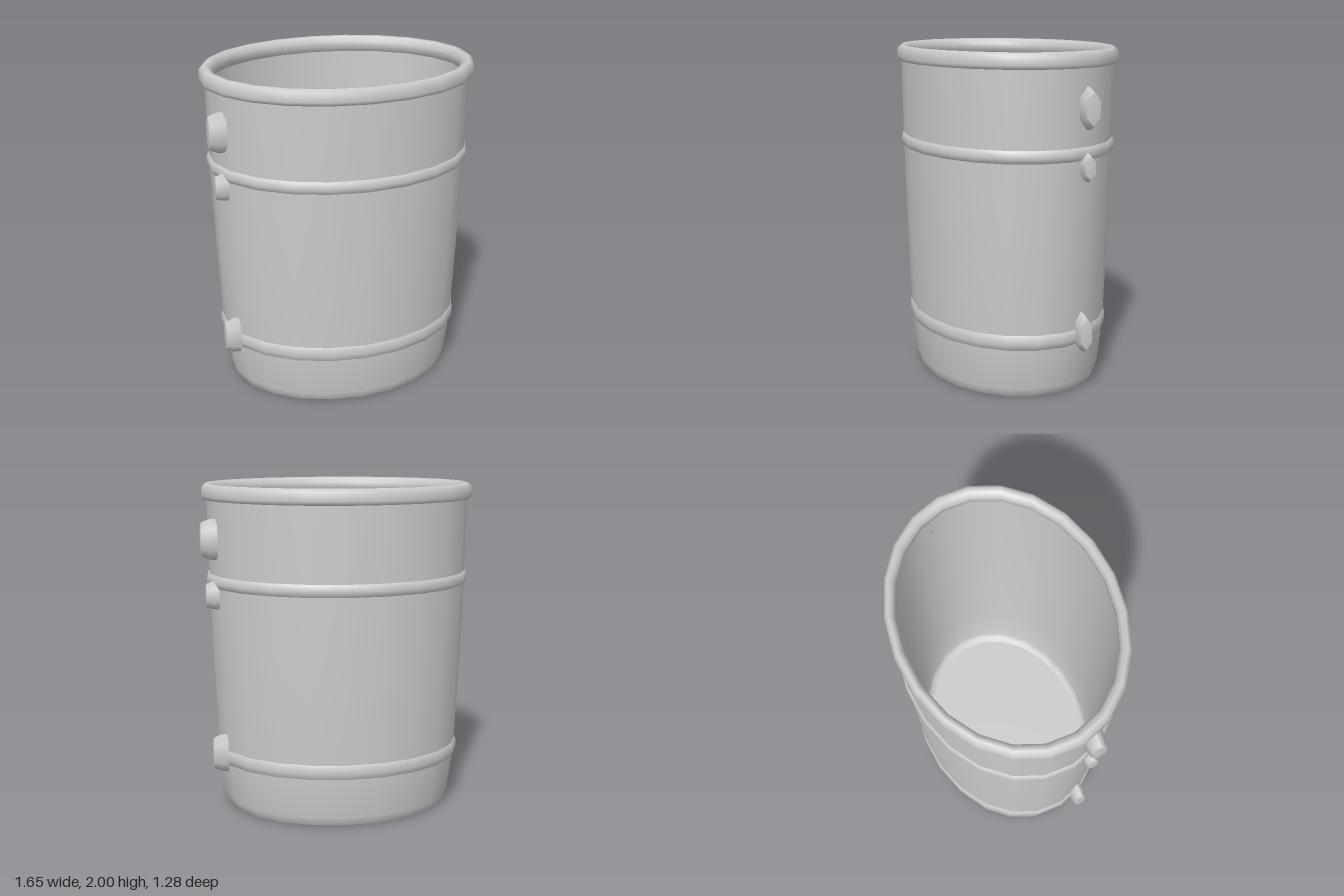
import * as THREE from 'three';

const SEGMENTS = 22;
const DEPTH = 0.778; // oval: z radius relative to x radius

// Oval ring or vessel part from one [radius, height] profile
function oval(name, profile, material) {
  const points = profile.map(([r, y]) => new THREE.Vector2(r, y));
  const geometry = new THREE.LatheGeometry(points, SEGMENTS);
  geometry.scale(1, 1, DEPTH);
  const mesh = new THREE.Mesh(geometry, material);
  mesh.name = name;
  return mesh;
}

// Elongated hexagonal stud along +x, flared at the wall and blunt at the tip
function stud(name, y, height, width, baseX, tipX, material) {
  const length = tipX - baseX;
  const points = [[0.52, 0], [0.5, 0.5], [0.43, 0.9], [0.38, 1], [0, 1]]
    .map(([r, t]) => new THREE.Vector2(r, t * length));
  const geometry = new THREE.LatheGeometry(points, 6);
  geometry.rotateY(Math.PI / 6);
  geometry.rotateZ(-Math.PI / 2);
  geometry.scale(1, height, width * 1.1);
  const mesh = new THREE.Mesh(geometry, material);
  mesh.name = name;
  mesh.position.set(baseX, y, -0.208);
  return mesh;
}

export function createModel() {
  const model = new THREE.Group();
  model.name = 'ovalBucket';
  const grey = new THREE.MeshStandardMaterial({ color: 0xcccccc });
  grey.name = 'lightGrey';

  // Thin outer wall with a rounded foot
  model.add(oval('outerWall', [
    [0.65, 0.025], [0.67, 0.002], [0.69, 0.01], [0.708, 0.06], [0.728, 0.2],
    [0.746, 0.35], [0.769, 0.9], [0.785, 1.4], [0.793, 1.92],
  ], grey));

  // Inner wall follows the outer one and curves tightly into the floor
  model.add(oval('innerWall', [
    [0.773, 1.95], [0.767, 1.4], [0.754, 0.9], [0.734, 0.35],
    [0.718, 0.2], [0.7, 0.08], [0.685, 0.045], [0.65, 0.035],
  ], grey));
  model.add(oval('floorTop', [[0.66, 0.035], [0, 0.035]], grey));
  model.add(oval('floorUnderside', [[0, 0.025], [0.66, 0.025]], grey));

  // Rolled rim
  model.add(oval('rim', [
    [0.775, 1.905], [0.812, 1.908], [0.825, 1.93], [0.82, 1.98], [0.795, 2],
    [0.765, 1.995], [0.746, 1.965], [0.744, 1.93], [0.77, 1.9],
  ], grey));

  // Raised hoops
  model.add(oval('upperHoop', [
    [0.775, 1.39], [0.793, 1.395], [0.804, 1.425], [0.797, 1.46], [0.775, 1.475],
  ], grey));
  model.add(oval('lowerHoop', [
    [0.735, 0.305], [0.752, 0.31], [0.761, 0.345], [0.758, 0.385], [0.74, 0.405],
  ], grey));

  // Three studs per side, opposite each other
  for (const side of ['left', 'right']) {
    const studs = new THREE.Group();
    studs.name = side + 'Studs';
    studs.add(stud('topStud', 1.685, 0.235, 0.108, 0.725, 0.827, grey));
    studs.add(stud('middleStud', 1.355, 0.165, 0.08, 0.72, 0.802, grey));
    studs.add(stud('bottomStud', 0.38, 0.23, 0.09, 0.69, 0.782, grey));
    if (side === 'right') studs.rotation.y = Math.PI;
    model.add(studs);
  }
  return model;
}
